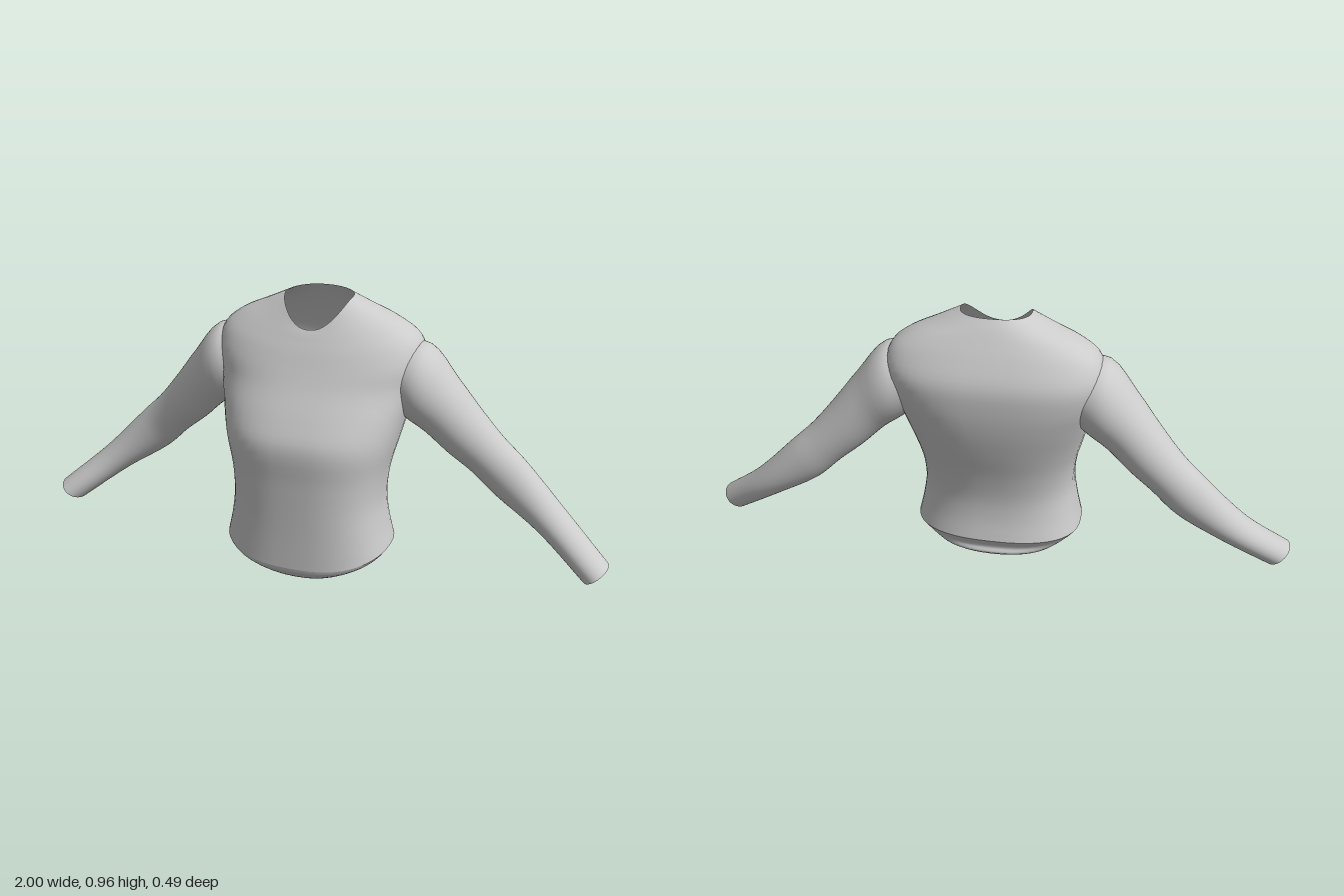
import * as THREE from 'three';

const material = new THREE.MeshStandardMaterial({ color: 0xcccccc, side: THREE.DoubleSide });
const SIDES = 48;

// Skin a list of closed rings, smoothing along the length with a spline per column
function loft(name, rings, stepsPerRing) {
  const rows = (rings.length - 1) * stepsPerRing;
  const positions = [], index = [];
  for (let i = 0; i < SIDES; i++) {
    const curve = new THREE.CatmullRomCurve3(rings.map((ring) => ring(i / SIDES * Math.PI * 2)));
    for (let j = 0; j <= rows; j++) positions.push(...curve.getPoint(j / rows).toArray());
  }
  for (let i = 0; i < SIDES; i++) {
    for (let j = 0; j < rows; j++) {
      const a = i * (rows + 1) + j;
      const b = ((i + 1) % SIDES) * (rows + 1) + j;
      index.push(a, a + 1, b, b, a + 1, b + 1);
    }
  }
  const geometry = new THREE.BufferGeometry();
  geometry.setAttribute('position', new THREE.Float32BufferAttribute(positions, 3));
  geometry.setIndex(index);
  geometry.computeVertexNormals();
  const mesh = new THREE.Mesh(geometry, material);
  mesh.name = name;
  return mesh;
}

const power = (v, n) => Math.sign(v) * Math.pow(Math.abs(v), 2 / n);

// Body ring: heights at front, side and back, half width, then z at front, side and back
function bodyRing([yF, yS, yB, w, zF, zS, zB, nF = 2.4, nB = 2.4]) {
  return (angle) => {
    const c = Math.cos(angle), s = Math.sin(angle);
    const front = s >= 0;
    const n = front ? nF : nB;
    return new THREE.Vector3(
      w * power(c, n),
      yS + ((front ? yF : yB) - yS) * s * s,
      zS + Math.abs(power(s, n)) * ((front ? zF : zB) - zS)
    );
  };
}

// Sleeve ring: lower and upper edge in x, y, then back and front z
function sleeveRing([bx, by, tx, ty, zB, zF], side) {
  return (angle) => {
    const c = Math.cos(angle) / 2, s = Math.sin(angle) / 2;
    return new THREE.Vector3(
      side * ((bx + tx) / 2 + (tx - bx) * c),
      (by + ty) / 2 + (ty - by) * c,
      (zB + zF) / 2 - (zF - zB) * s
    );
  };
}

export function createModel() {
  const group = new THREE.Group();
  group.name = 'shirt';

  const hemFold = [0.09, 0.135, 0.145, 0.285, 0.24, 0.03, -0.17, 2.6, 2.4];

  // Torso from the hem fold up to the neckline
  const torso = [
    hemFold,
    [0.2, 0.21, 0.22, 0.268, 0.239, 0.03, -0.157, 2.6],
    [0.3, 0.3, 0.3, 0.256, 0.24, 0.03, -0.156, 2.6],
    [0.4, 0.4, 0.4, 0.264, 0.242, 0.02, -0.175, 2.6],
    [0.52, 0.5, 0.5, 0.288, 0.244, 0, -0.205, 2.6],
    [0.6, 0.6, 0.6, 0.312, 0.208, -0.03, -0.23, 2.5, 2.6],
    [0.69, 0.69, 0.69, 0.335, 0.155, -0.06, -0.242, 2.4, 2.8],
    [0.75, 0.77, 0.77, 0.35, 0.124, -0.07, -0.24, 2.4, 2.8],
    [0.8, 0.832, 0.85, 0.334, 0.1, -0.075, -0.206, 2.3, 2.6],
    [0.83, 0.877, 0.9, 0.28, 0.084, -0.07, -0.178, 2.2, 2.4],
    [0.85, 0.92, 0.937, 0.19, 0.073, -0.06, -0.155, 2.2, 2.2],
    [0.865, 0.957, 0.963, 0.113, 0.063, -0.05, -0.135, 2.2, 2.2],
  ];
  group.add(loft('torso', torso.map(bodyRing), 4));

  // Hem turned inwards around the waist opening
  const hem = [
    [0.005, 0.03, 0.04, 0.145, 0.12, 0.01, -0.09, 2.2, 2.2],
    [0.04, 0.075, 0.085, 0.215, 0.2, 0.02, -0.155],
    [0.075, 0.115, 0.105, 0.27, 0.236, 0.03, -0.148, 2.6],
    hemFold,
  ];
  group.add(loft('hem', hem.map(bodyRing), 4));

  // Sleeves from inside the shoulder to the open cuff
  const sleeve = [
    [0.23, 0.63, 0.28, 0.82, -0.17, 0.03],
    [0.305, 0.565, 0.365, 0.815, -0.192, 0.055],
    [0.365, 0.522, 0.46, 0.705, -0.182, 0.03],
    [0.44, 0.452, 0.54, 0.602, -0.18, 0.002],
    [0.52, 0.387, 0.62, 0.507, -0.178, -0.025],
    [0.605, 0.308, 0.69, 0.44, -0.176, -0.038],
    [0.755, 0.212, 0.845, 0.282, -0.152, -0.018],
    [0.922, 0.09, 0.998, 0.15, -0.085, 0.045],
  ];
  for (const [name, side] of [['leftSleeve', 1], ['rightSleeve', -1]]) {
    group.add(loft(name, sleeve.map((r) => sleeveRing(r, side)), 4));
  }
  return group;
}
